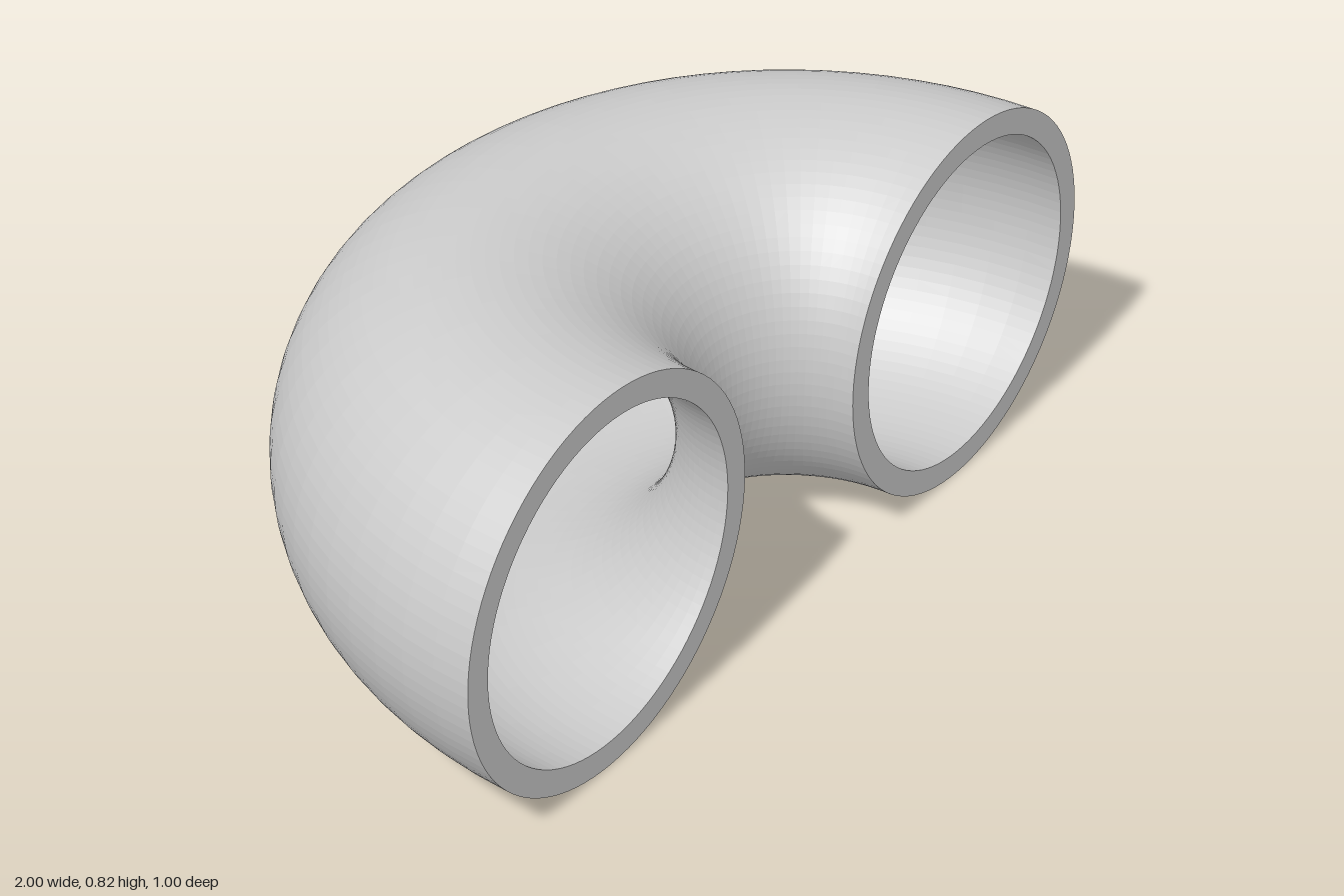
import * as THREE from 'three';

const BEND = 0.59, OUTER = 0.41, INNER = 0.355; // bend radius and pipe radii
const AROUND = 96, ALONG = 40;

// Half-torus wall lying flat, its open ends facing +z
function bentWall(radius, inward) {
  const g = new THREE.TorusGeometry(BEND, radius, AROUND, ALONG, Math.PI);
  g.rotateX(-Math.PI / 2);
  if (inward) {
    g.index.array.reverse(); // turn the faces towards the bore
    const n = g.attributes.normal;
    for (let i = 0; i < n.array.length; i++) n.array[i] *= -1;
  }
  return g;
}

export function createModel() {
  const pipe = new THREE.Group();
  pipe.name = 'pipeBend';
  const material = new THREE.MeshStandardMaterial({ color: 0xcccccc, flatShading: true });

  const add = (name, geometry, x = 0) => {
    const mesh = new THREE.Mesh(geometry, material);
    mesh.name = name;
    mesh.position.set(x, OUTER, 0.5);
    pipe.add(mesh);
  };

  // Outside and bore of the U-bend
  add('outerWall', bentWall(OUTER, false));
  add('innerWall', bentWall(INNER, true));

  // Flat rims closing the wall thickness at both ends
  const rim = new THREE.RingGeometry(INNER, OUTER, AROUND);
  add('leftRim', rim, BEND);
  add('rightRim', rim, -BEND);

  return pipe;
}
